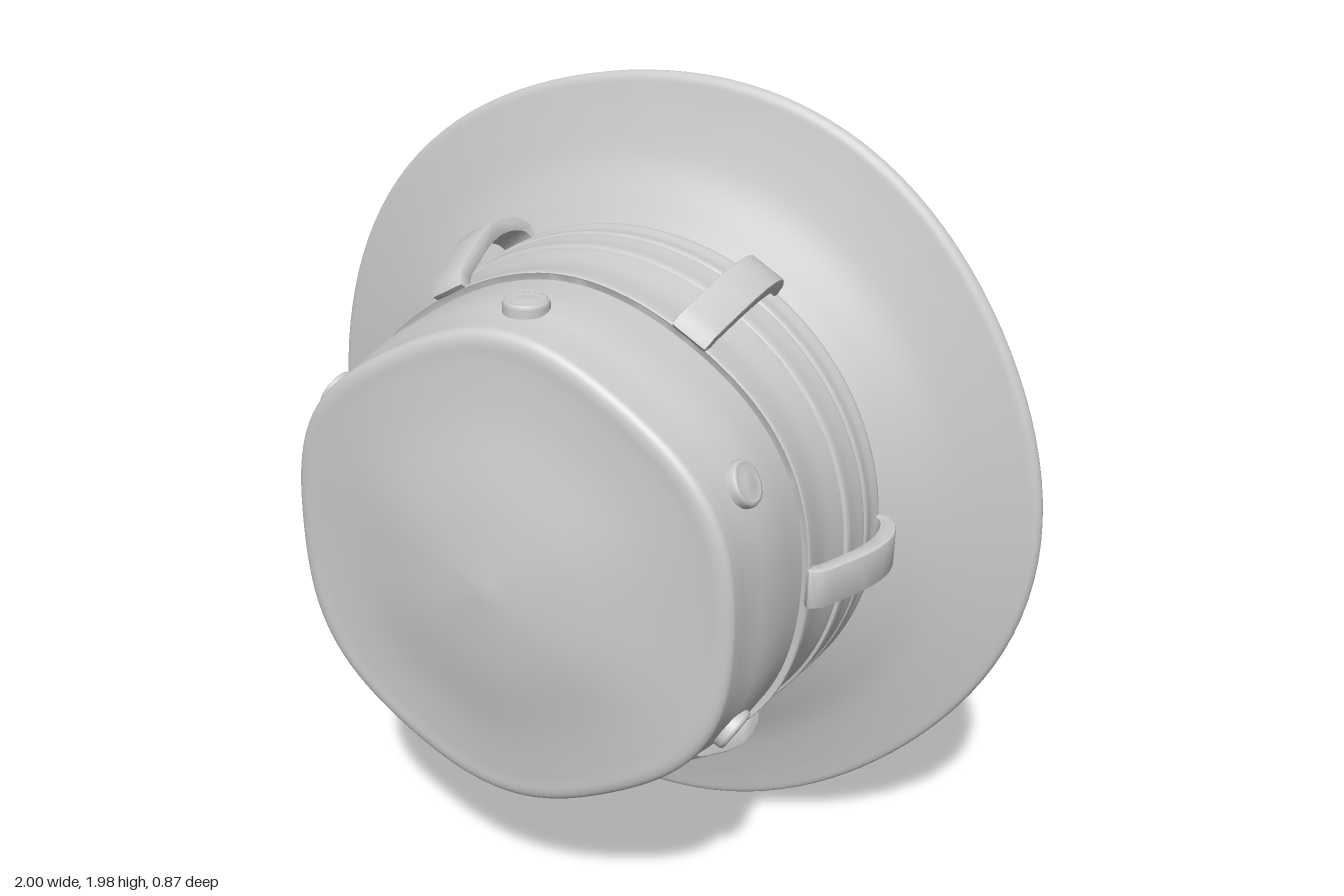
import * as THREE from 'three';
import { mergeVertices, toCreasedNormals } from 'three/addons/utils/BufferGeometryUtils.js';

const material = new THREE.MeshStandardMaterial({ color: 0xcccccc, side: THREE.DoubleSide });
const v2 = (p) => new THREE.Vector2(p[0], p[1]);

// Smooth curve through [radius, z] points
function smooth(points, n) {
  return new THREE.SplineCurve(points.map(v2)).getPoints(n)
    .map((p) => new THREE.Vector2(Math.max(0, p.x), p.y));
}

// Soft-cloth deformation: slightly six-sided crown, wavy brim, lumpy top
function soften(geometry) {
  const pos = geometry.attributes.position;
  for (let i = 0; i < pos.count; i++) {
    const x = pos.getX(i), y = pos.getY(i), z = pos.getZ(i);
    const r = Math.hypot(x, y), a = Math.atan2(y, x);
    const front = THREE.MathUtils.smoothstep(z, -0.25, 0.35);
    const brim = THREE.MathUtils.smoothstep(r, 0.66, 1);
    const s = 1 - 0.017 * front * Math.cos(6 * a) + 0.004 * Math.sin(2 * a + 1)
      + brim * 0.009 * Math.cos(5 * a + 0.6);
    const top = z > 0.25 ? 0.012 * Math.sin(5 * x + 1) * Math.cos(4 * y + 0.5) : 0;
    pos.setXYZ(i, x * s, y * s, z + top + brim * 0.006 * Math.sin(3 * a + 1));
  }
}

// Surface of revolution about the z axis, softened and smooth shaded
function revolve(points, crease) {
  let geometry = new THREE.LatheGeometry(points, 120);
  geometry.rotateX(Math.PI / 2);
  geometry.deleteAttribute('uv');
  geometry.deleteAttribute('normal');
  geometry = mergeVertices(geometry, 1e-5);
  soften(geometry);
  geometry.computeVertexNormals();
  return crease ? toCreasedNormals(geometry, crease) : geometry;
}

export function createModel() {
  const hat = new THREE.Group();
  hat.name = 'bucketHat';
  hat.position.y = 1;
  const add = (geometry, name, parent = hat) => {
    const mesh = new THREE.Mesh(geometry, material);
    mesh.name = name;
    parent.add(mesh);
    return mesh;
  };

  // Crown: inner bowl, turned-under hem, outer wall, lip and shallow dome
  const crownInside = smooth([[0, 0.39], [0.25, 0.365], [0.44, 0.31], [0.53, 0.2],
    [0.565, 0], [0.59, -0.29]], 30);
  const crownOutside = smooth([[0.625, -0.285], [0.615, -0.1], [0.605, 0.05], [0.6, 0.18],
    [0.582, 0.29], [0.577, 0.335], [0.572, 0.358], [0.55, 0.37], [0.5, 0.372],
    [0.38, 0.382], [0.2, 0.41], [0, 0.428]], 60);
  add(revolve([...crownInside, ...crownOutside]), 'crown');

  // Brim: flared underside, rolled edge, flared front side
  const brimUnder = smooth([[0.585, -0.275], [0.66, -0.325], [0.8, -0.385], [0.96, -0.427]], 20);
  const brimEdge = smooth([[0.975, -0.429], [0.99, -0.422], [0.995, -0.408],
    [0.988, -0.392], [0.97, -0.386]], 10);
  const brimFront = smooth([[0.93, -0.378], [0.8, -0.345], [0.7, -0.3], [0.63, -0.265]], 20);
  add(revolve([...brimUnder, ...brimEdge, ...brimFront]), 'brim');

  // Three overlapping hat bands: [back z, front z, back radius, mid radius, front radius]
  const bands = [
    [-0.125, 0.065, 0.632, 0.618, 0.622],
    [-0.21, -0.108, 0.644, 0.64, 0.64],
    [-0.278, -0.198, 0.652, 0.646, 0.648],
  ];
  bands.forEach(([z0, z1, r0, rm, r1], i) => {
    const profile = [
      v2([0.59, z0]),
      ...smooth([[r0 - 0.005, z0], [r0, z0 + 0.008], [rm, (z0 + z1) / 2],
        [r1, z1 - 0.008], [r1 - 0.005, z1]], 16),
      v2([0.59, z1]),
    ];
    add(revolve(profile, 0.7), 'hatBand' + (i + 1));
  });

  // Belt loops: bowed strips standing off the bands
  const outer = [[0.622, 0.072], [0.648, 0.05], [0.675, -0.01], [0.705, -0.09],
    [0.718, -0.17], [0.705, -0.235], [0.675, -0.275]];
  const inner = [[0.63, -0.272], [0.67, -0.245], [0.686, -0.17], [0.674, -0.09],
    [0.645, -0.01], [0.625, 0.035], [0.6, 0.05]];
  const loopShape = new THREE.Shape([...smooth(outer, 20), ...smooth(inner, 20)]);
  const loopGeometry = toCreasedNormals(new THREE.ExtrudeGeometry(loopShape, {
    depth: 0.084, steps: 1, bevelEnabled: true, bevelThickness: 0.005, bevelSize: 0.004, bevelSegments: 2,
  }).translate(0, 0, -0.042).rotateX(Math.PI / 2), 0.6);

  // Rivets: shallow caps with a rounded rim
  const rivetProfile = [[0.052, -0.04], [0.053, 0.01], [0.049, 0.018], [0.042, 0.02],
    [0.038, 0.016], [0.02, 0.02], [0, 0.021]].map(v2);
  const rivetGeometry = new THREE.LatheGeometry(rivetProfile, 28).rotateZ(-Math.PI / 2);

  for (let i = 0; i < 6; i++) {
    const angle = i * Math.PI / 3;
    add(loopGeometry, 'beltLoop' + (i + 1)).rotation.z = angle;
    const holder = new THREE.Group();
    holder.name = 'rivet' + (i + 1);
    holder.rotation.z = angle + Math.PI / 6;
    add(rivetGeometry, 'rivetCap', holder).position.set(0.598, 0, 0.232);
    hat.add(holder);
  }

  const model = new THREE.Group();
  model.name = 'model';
  model.add(hat);
  return model;
}
